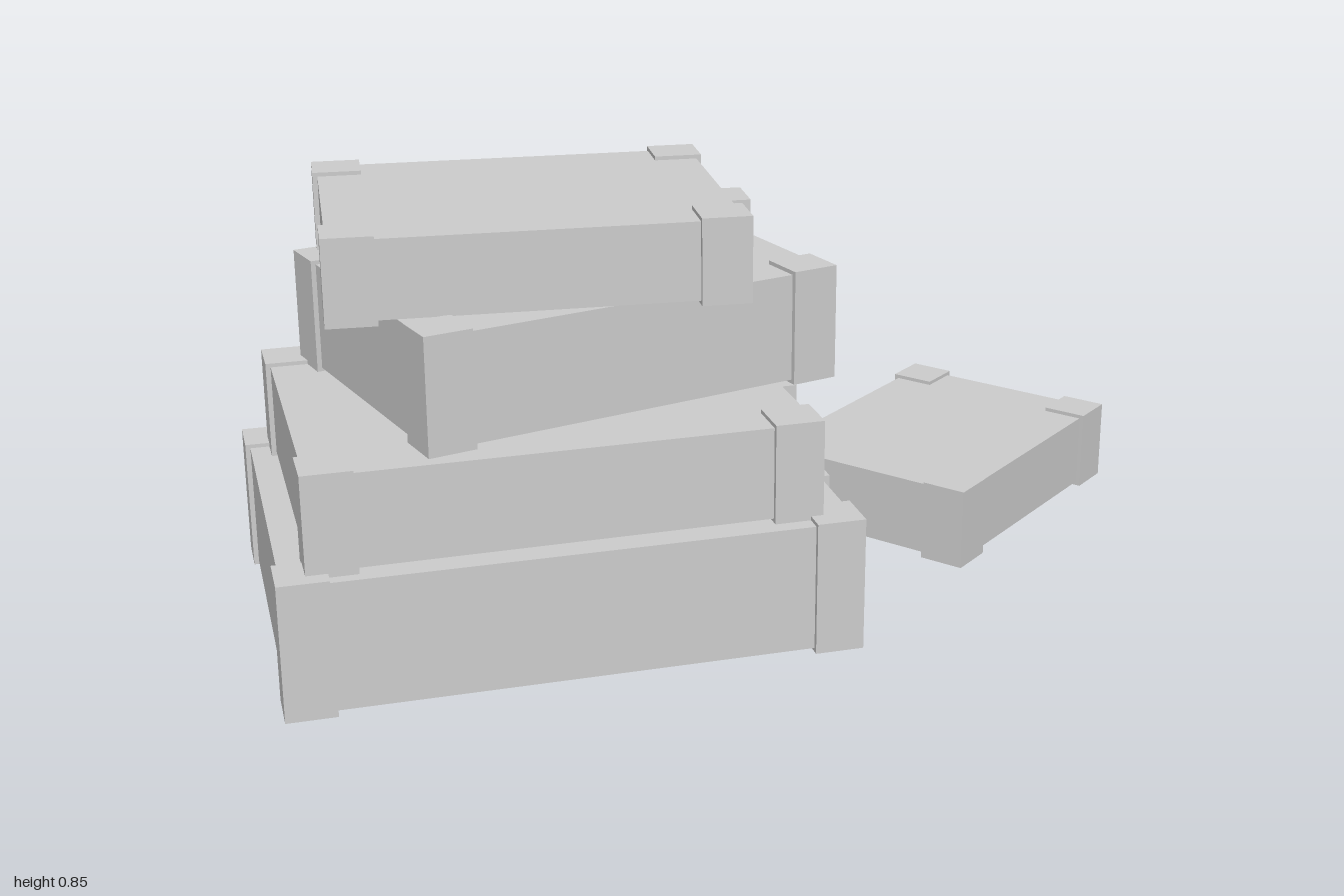
import * as THREE from 'three';

const grey = new THREE.MeshStandardMaterial({ color: 0xcccccc });
grey.name = 'plainGrey';

const CORNER = 0.097;  // size of the corner guards
const LIP = 0.01;      // how far the guards stand proud of the body
const COVER = 0.03;    // cover thickness
const RECESS = 0.022;  // depth of the page edge behind the covers

function part(name, geometry, x = 0, y = 0, z = 0) {
  const mesh = new THREE.Mesh(geometry, grey);
  mesh.name = name;
  mesh.position.set(x, y, z);
  return mesh;
}

// A closed thick book: spine at -x, recessed page edge and clasp at +x.
function makeBook({ name, length, width, bottom, top, x, z, turn }) {
  const book = new THREE.Group();
  book.name = name;
  const height = top - bottom;
  const hx = length / 2 - LIP;
  const hy = height / 2 - LIP * 0.8;
  const depth = width - 2 * LIP;

  // covers, spine and pages in one C-shaped section
  const inner = hx - RECESS;
  const section = new THREE.Shape([
    [-hx, -hy], [hx, -hy], [hx, -hy + COVER], [inner, -hy + COVER],
    [inner, hy - COVER], [hx, hy - COVER], [hx, hy], [-hx, hy],
  ].map(([px, py]) => new THREE.Vector2(px, py)));
  const body = new THREE.ExtrudeGeometry(section, { depth, bevelEnabled: false });
  body.translate(0, 0, -depth / 2);
  book.add(part('coversAndPages', body));

  // full-height guards on all four corners
  for (const sx of [-1, 1]) {
    for (const sz of [-1, 1]) {
      book.add(part('cornerGuard', new THREE.BoxGeometry(CORNER, height, CORNER),
        sx * (length - CORNER) / 2, 0, sz * (width - CORNER) / 2));
    }
  }

  // clasp block, rooted in the page edge
  const claspStart = inner - 0.005;
  const claspEnd = length / 2 + 0.05;
  book.add(part('clasp', new THREE.BoxGeometry(claspEnd - claspStart, height * 0.59, 0.1),
    (claspStart + claspEnd) / 2, 0, 0));

  book.position.set(x, (bottom + top) / 2, z);
  book.rotation.y = turn;
  return book;
}

export function createModel() {
  const model = new THREE.Group();
  model.name = 'bookPile';
  const books = [
    { name: 'bottomBook', length: 1.113, width: 0.822, bottom: 0, top: 0.272, x: -0.415, z: 0.073, turn: -0.076 },
    { name: 'secondBook', length: 0.985, width: 0.732, bottom: 0.264, top: 0.465, x: -0.427, z: 0.079, turn: -0.066 },
    { name: 'thirdBook', length: 0.885, width: 0.656, bottom: 0.456, top: 0.69, x: -0.328, z: -0.014, turn: 0.184 },
    { name: 'topBook', length: 0.795, width: 0.597, bottom: 0.68, top: 0.85, x: -0.416, z: 0.02, turn: -0.152 },
    { name: 'fallenBook', length: 0.659, width: 0.503, bottom: 0, top: 0.173, x: 0.585, z: -0.137, turn: 0.598 },
  ];
  for (const spec of books) model.add(makeBook(spec));
  return model;
}
